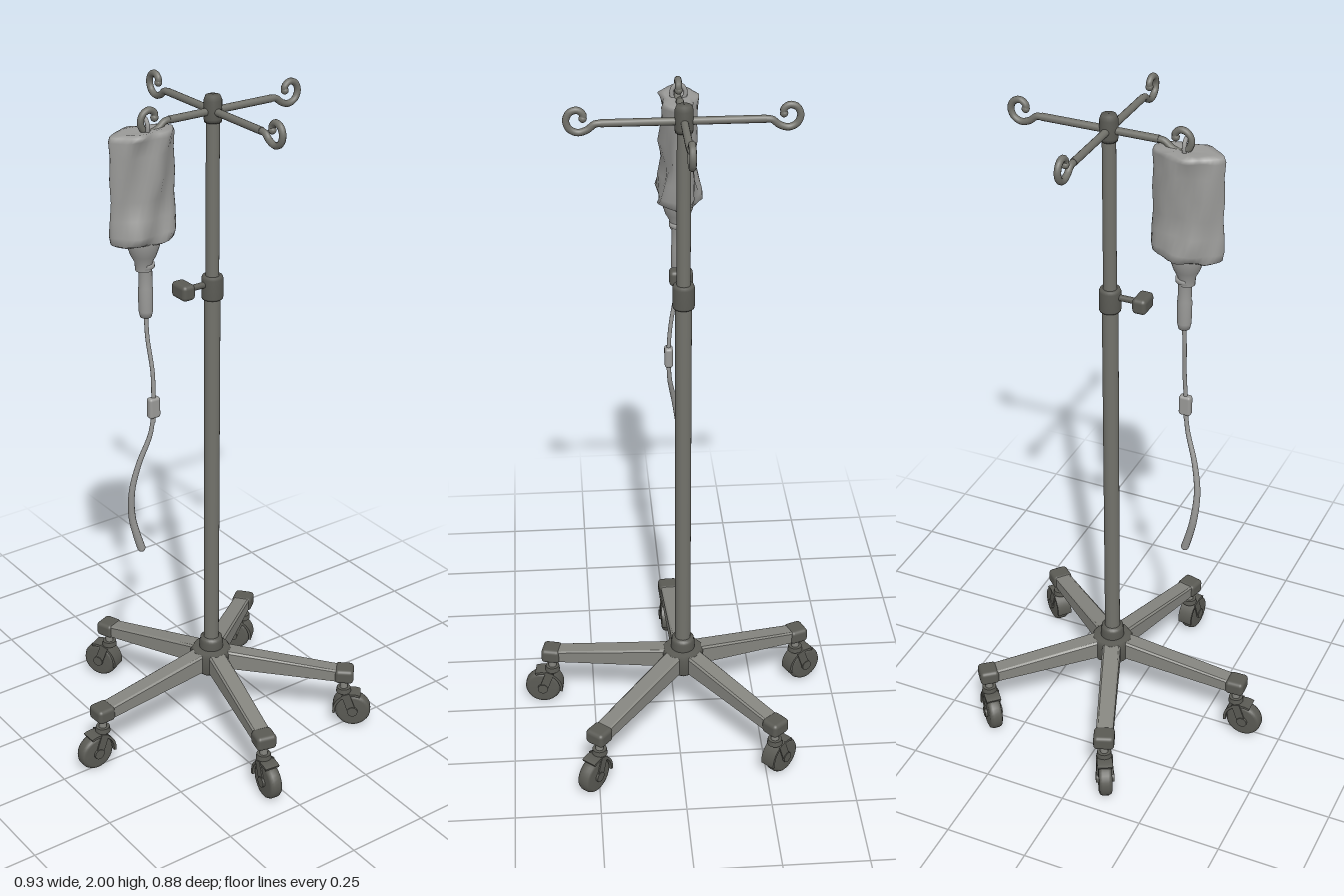
import * as THREE from 'three';
import { RoundedBoxGeometry } from 'three/addons/geometries/RoundedBoxGeometry.js';

const mat = (name, color) => {
  const m = new THREE.MeshStandardMaterial({ color, side: THREE.DoubleSide });
  m.name = name;
  return m;
};
const V = (x, y, z) => new THREE.Vector3(x, y, z);
const V2 = (list) => list.map(([x, y]) => new THREE.Vector2(x, y));

function add(parent, name, geo, material, x = 0, y = 0, z = 0) {
  const m = new THREE.Mesh(geo, material);
  m.name = name;
  m.position.set(x, y, z);
  parent.add(m);
  return m;
}
function group(parent, name, x, z, angle) {
  const g = new THREE.Group();
  g.name = name;
  g.position.set(x, 0, z);
  g.rotation.y = angle;
  parent.add(g);
  return g;
}
const cyl = (r1, r2, h, n = 24) => new THREE.CylinderGeometry(r1, r2, h, n);

// Tapered inverted channel running along +z
function legGeometry(length) {
  const w = 0.028, h = 0.06, t = 0.007;
  const s = new THREE.Shape(V2([[-w, 0], [-w + t, 0], [-w + t, h - t], [w - t, h - t],
    [w - t, 0], [w, 0], [w, h - 0.006], [w - 0.006, h], [-w + 0.006, h], [-w, h - 0.006]]));
  const geo = new THREE.ExtrudeGeometry(s, { depth: length, bevelEnabled: false });
  const p = geo.attributes.position;
  for (let i = 0; i < p.count; i++) {
    const k = p.getZ(i) / length;
    p.setX(i, p.getX(i) * (1 - 0.1 * k));
    p.setY(i, 0.195 - 0.03 * k + p.getY(i) * (1 - 0.4 * k));
  }
  geo.computeVertexNormals();
  return geo;
}

// Tube whose radius grows from r1 to r2
function taperedTube(points, r1, r2) {
  const curve = new THREE.CatmullRomCurve3(points), n = 48, sides = 10;
  const geo = new THREE.TubeGeometry(curve, n, r1, sides);
  const p = geo.attributes.position, v = V();
  for (let i = 0; i < p.count; i++) {
    const k = Math.floor(i / (sides + 1)) / n, c = curve.getPointAt(k);
    v.fromBufferAttribute(p, i).sub(c).multiplyScalar(1 + (r2 / r1 - 1) * k).add(c);
    p.setXYZ(i, v.x, v.y, v.z);
  }
  return geo;
}

// Soft wrinkled bag from lens-shaped loops: [height, half width z, half depth x]
function bagGeometry() {
  const rows = [[1.936, 0, 0], [1.942, 0.07, 0.035], [1.938, 0.097, 0.05], [1.925, 0.102, 0.05],
    [1.88, 0.099, 0.044], [1.82, 0.102, 0.05], [1.76, 0.099, 0.042], [1.71, 0.103, 0.05],
    [1.665, 0.104, 0.062], [1.642, 0.1, 0.058], [1.634, 0.085, 0.045], [1.63, 0, 0]];
  const n = 40, pos = [], index = [];
  rows.forEach(([y, a, b], i) => {
    for (let j = 0; j < n; j++) {
      const t = (j / n) * Math.PI * 2, s = Math.sin(t), c = Math.cos(t);
      const fold = 1 + 0.14 * Math.sin(5 * t + i * 1.1) + 0.06 * Math.sin(9 * t - i * 1.7);
      pos.push(b * s * Math.abs(s) ** 0.3 * fold, y, a * c);
    }
  });
  for (let i = 0; i < rows.length - 1; i++) for (let j = 0; j < n; j++) {
    const a = i * n + j, c = i * n + (j + 1) % n;
    index.push(a, a + n, c, c, a + n, c + n);
  }
  const geo = new THREE.BufferGeometry();
  geo.setAttribute('position', new THREE.Float32BufferAttribute(pos, 3));
  geo.setIndex(index);
  geo.computeVertexNormals();
  return geo;
}

export function createModel() {
  const model = new THREE.Group();
  model.name = 'dripStand';
  const steel = mat('steel', 0x72726b);
  const legPaint = mat('legPaint', 0x85857f);
  const dark = mat('darkPlastic', 0x5a5a54);
  const bagPlastic = mat('bagPlastic', 0x9a9a98);
  const CX = -0.022, CZ = -0.052;

  // Pole and fittings
  const pole = group(model, 'pole', CX, CZ, 0);
  add(pole, 'lowerPole', cyl(0.023, 0.023, 1.2), steel, 0, 0.83, 0);
  add(pole, 'upperPole', cyl(0.019, 0.019, 0.54), steel, 0, 1.7, 0);
  add(pole, 'topCap', new THREE.LatheGeometry(V2([[0, 1.925], [0.024, 1.925], [0.025, 1.935],
    [0.025, 1.985], [0.02, 1.998], [0, 2]]), 24), dark);
  add(pole, 'heightCollar', new THREE.LatheGeometry(V2([[0.022, 1.415], [0.03, 1.415], [0.031, 1.42],
    [0.031, 1.475], [0.028, 1.483], [0.018, 1.483]]), 24), dark);
  add(pole, 'knobStem', cyl(0.009, 0.009, 0.07, 16), dark, 0, 1.46, 0.055).rotation.x = Math.PI / 2;
  add(pole, 'knob', new RoundedBoxGeometry(0.066, 0.046, 0.042, 3, 0.012), dark, 0, 1.46, 0.098);

  // Hub
  add(pole, 'hub', new THREE.LatheGeometry(V2([[0, 0.178], [0.05, 0.178], [0.064, 0.19],
    [0.064, 0.245], [0.056, 0.257], [0, 0.257]]), 10), dark);
  add(pole, 'hubCollar', new THREE.LatheGeometry(V2([[0.036, 0.25], [0.036, 0.28], [0.033, 0.283],
    [0.033, 0.292], [0.022, 0.295]]), 24), dark);

  // Hook arms: [angle, reach]
  [[0, 0.242], [Math.PI / 2, 0.317], [Math.PI, 0.295], [-Math.PI / 2, 0.315]].forEach(([angle, reach]) => {
    const arm = group(pole, 'hookArm', 0, 0, angle);
    const e = reach - 0.01;
    const bend = [[-0.095, 1.955], [-0.075, 1.953], [-0.055, 1.938], [-0.03, 1.931], [-0.008, 1.942],
      [0, 1.965], [-0.01, 1.986], [-0.03, 1.992], [-0.045, 1.98], [-0.044, 1.969]];
    add(arm, 'hookBar', cyl(0.0105, 0.0105, e - 0.09, 14), steel, 0, 1.955, (e - 0.09) / 2).rotation.x = Math.PI / 2;
    const path = new THREE.CatmullRomCurve3(bend.map(([z, y]) => V(0, y, e + z)));
    add(arm, 'hook', new THREE.TubeGeometry(path, 40, 0.0095, 10), steel);
    add(arm, 'hookTip', new THREE.SphereGeometry(0.011, 12, 8), steel, 0, 1.969, e - 0.044);
  });

  // Legs and casters: pivot x, z, then the caster's trailing direction x, z
  [[0.378, 0.043, 1, 0.12], [0.247, -0.364, 0.65, -0.75], [-0.272, -0.358, -0.7, 0.65],
    [-0.39, 0.088, -0.85, 0.45], [-0.006, 0.357, 0.02, 1]].forEach(([px, pz, dx, dz]) => {
    const vx = px - CX, vz = pz - CZ, length = Math.hypot(vx, vz);
    const leg = group(model, 'leg', CX, CZ, Math.atan2(vx, vz));
    add(leg, 'legChannel', legGeometry(length - 0.035), legPaint, 0, 0, 0.03);
    add(leg, 'legEndCap', new RoundedBoxGeometry(0.062, 0.046, 0.058, 3, 0.012), dark, 0, 0.183, length);

    const caster = group(model, 'caster', px, pz, Math.atan2(dx, dz));
    add(caster, 'casterStem', cyl(0.012, 0.012, 0.06, 16), legPaint, 0, 0.14, 0);
    add(caster, 'casterCollar', cyl(0.021, 0.023, 0.016, 18), dark, 0, 0.125, 0);
    // Curved hood over the inner, upper part of the wheel
    const hood = new THREE.Shape();
    hood.absarc(0, 0, 0.062, Math.PI * 0.38, Math.PI * 1.05, false);
    hood.absarc(0, 0, 0.054, Math.PI * 1.05, Math.PI * 0.38, true);
    const hoodGeo = new THREE.ExtrudeGeometry(hood, { depth: 0.046, bevelEnabled: false, curveSegments: 20 });
    hoodGeo.translate(0, 0, -0.023).rotateY(-Math.PI / 2);
    add(caster, 'casterHood', hoodGeo, dark, 0, 0.057, 0.03);
    for (const side of [-1, 1]) {
      add(caster, 'forkPlate', new THREE.BoxGeometry(0.004, 0.068, 0.026), dark, side * 0.023, 0.085, 0.018).rotation.x = -0.35;
      add(caster, 'axleCap', cyl(0.016, 0.016, 0.007, 18), dark, side * 0.024, 0.057, 0.03).rotation.z = Math.PI / 2;
    }
    const wheel = new THREE.LatheGeometry(V2([[0, -0.02], [0.043, -0.02], [0.051, -0.017], [0.055, -0.009],
      [0.055, 0.009], [0.051, 0.017], [0.043, 0.02], [0, 0.02]]), 32);
    add(caster, 'wheel', wheel, dark, 0, 0.057, 0.03).rotation.z = Math.PI / 2;
  });

  // Fluid bag, drip chamber and line
  const bag = group(model, 'fluidBag', -0.024, 0.175, 0);
  add(bag, 'bagBody', bagGeometry(), bagPlastic);
  const loop = add(bag, 'hangingLoop', new THREE.TorusGeometry(0.019, 0.006, 8, 24), bagPlastic, 0, 1.95, -0.007);
  loop.scale.y = 1.25;
  add(bag, 'bagNeck', new THREE.LatheGeometry(V2([[0.046, 1.64], [0.045, 1.622], [0.036, 1.595],
    [0.025, 1.575], [0.023, 1.55]]), 24), bagPlastic);
  add(bag, 'dripChamber', new THREE.LatheGeometry(V2([[0, 1.572], [0.026, 1.57], [0.026, 1.558], [0.019, 1.553],
    [0.019, 1.5], [0.021, 1.495], [0.02, 1.43], [0.016, 1.412], [0, 1.405]]), 24), bagPlastic, 0, 0, -0.005);
  add(model, 'upperLine', taperedTube([V(-0.024, 1.415, 0.17), V(-0.018, 1.35, 0.17), V(-0.002, 1.25, 0.165),
    V(0.004, 1.17, 0.167), V(0.004, 1.1, 0.168)], 0.006, 0.006), bagPlastic);
  add(model, 'lineClamp', new RoundedBoxGeometry(0.024, 0.062, 0.036, 3, 0.008), bagPlastic, 0.004, 1.145, 0.167);
  const end = V(-0.035, 0.68, 0.19);
  add(model, 'lowerLine', taperedTube([V(0.004, 1.12, 0.168), V(0, 1.06, 0.177), V(-0.016, 0.97, 0.206),
    V(-0.03, 0.88, 0.222), V(-0.04, 0.79, 0.217), V(-0.038, 0.73, 0.204), end], 0.006, 0.012), bagPlastic);
  add(model, 'lineEnd', new THREE.SphereGeometry(0.012, 12, 8), bagPlastic, end.x, end.y, end.z);
  return model;
}
